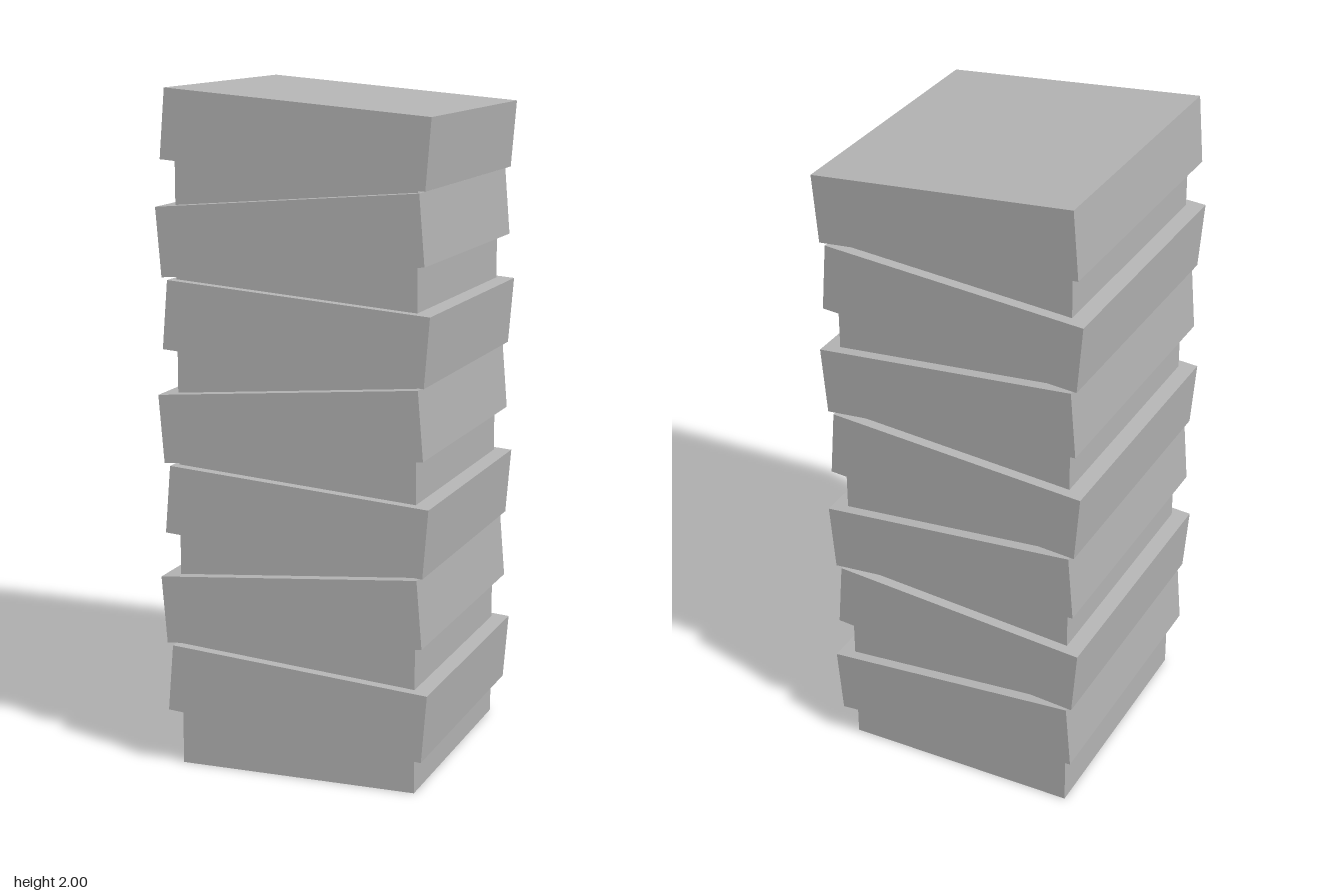
import * as THREE from 'three';

export function createModel() {
  const group = new THREE.Group();
  const stone = new THREE.MeshStandardMaterial({ color: 0xb4b4b4 });
  stone.name = 'plain grey';

  const addBox = (name, w, h, d, x, y, tilt = 0) => {
    const mesh = new THREE.Mesh(new THREE.BoxGeometry(w, h, d), stone);
    mesh.name = name;
    mesh.position.set(x, y, 0);
    mesh.rotation.z = THREE.MathUtils.degToRad(tilt);
    group.add(mesh);
  };

  // Straight core, ending inside the top storey
  addBox('core', 0.725, 1.85, 0.77, -0.002, 0.925);

  // Seven storeys tilted alternately to either side
  const pairPitch = 0.5425;
  for (let i = 0; i < 7; i++) {
    const pair = Math.floor(i / 2) * pairPitch;
    if (i % 2 === 0) addBox(`storey${i + 1}`, 0.79, 0.201, 0.835, 0.006, 0.24 + pair, -4.7);
    else addBox(`storey${i + 1}`, 0.79, 0.201, 0.835, -0.011, 0.512 + pair, 4.7);
  }
  return group;
}
